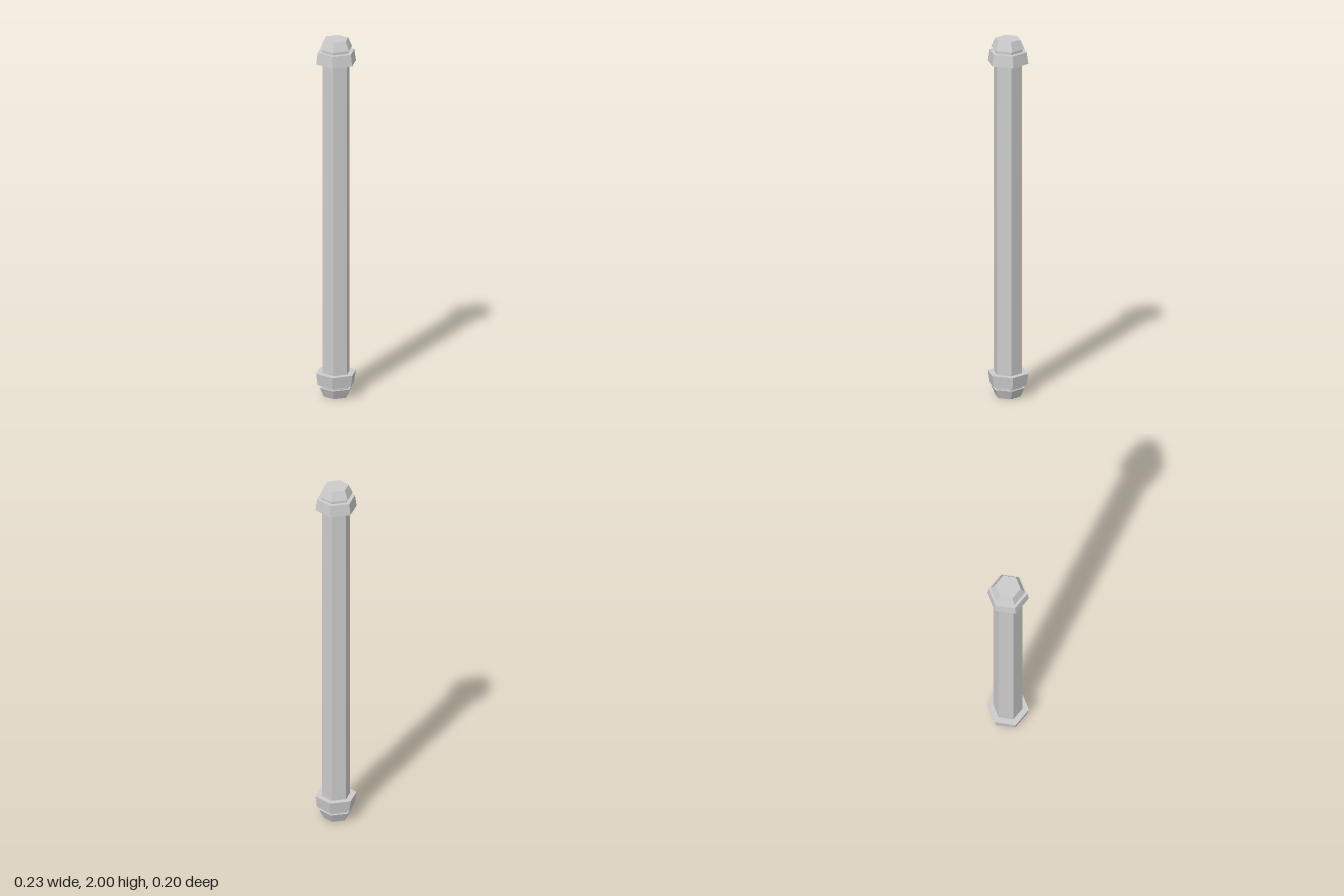
import * as THREE from 'three';

export function createModel() {
  const model = new THREE.Group();
  model.name = 'hexagonalRod';
  const material = new THREE.MeshStandardMaterial({ color: 0xcccccc, flatShading: true });

  // Six-sided tapered section with corners on the x axis
  function hexSection(name, rBottom, rTop, y0, y1, parent) {
    const geometry = new THREE.CylinderGeometry(rTop, rBottom, y1 - y0, 6, 1, false, Math.PI / 2);
    const mesh = new THREE.Mesh(geometry, material);
    mesh.name = name;
    mesh.position.y = (y0 + y1) / 2;
    parent.add(mesh);
  }

  // Long shaft between the end fittings
  hexSection('shaft', 0.078, 0.078, 0.1, 1.9, model);

  // End fittings: collar, neck and bevelled cap, the lower one turned over
  for (const end of ['top', 'bottom']) {
    const fitting = new THREE.Group();
    fitting.name = end + 'Fitting';
    hexSection(end + 'Collar', 0.113, 0.104, 0.868, 0.932, fitting);
    hexSection(end + 'Neck', 0.08, 0.08, 0.93, 0.952, fitting);
    hexSection(end + 'Cap', 0.092, 0.069, 0.95, 1, fitting);
    fitting.position.y = 1;
    if (end === 'bottom') fitting.rotation.x = Math.PI;
    model.add(fitting);
  }
  return model;
}
